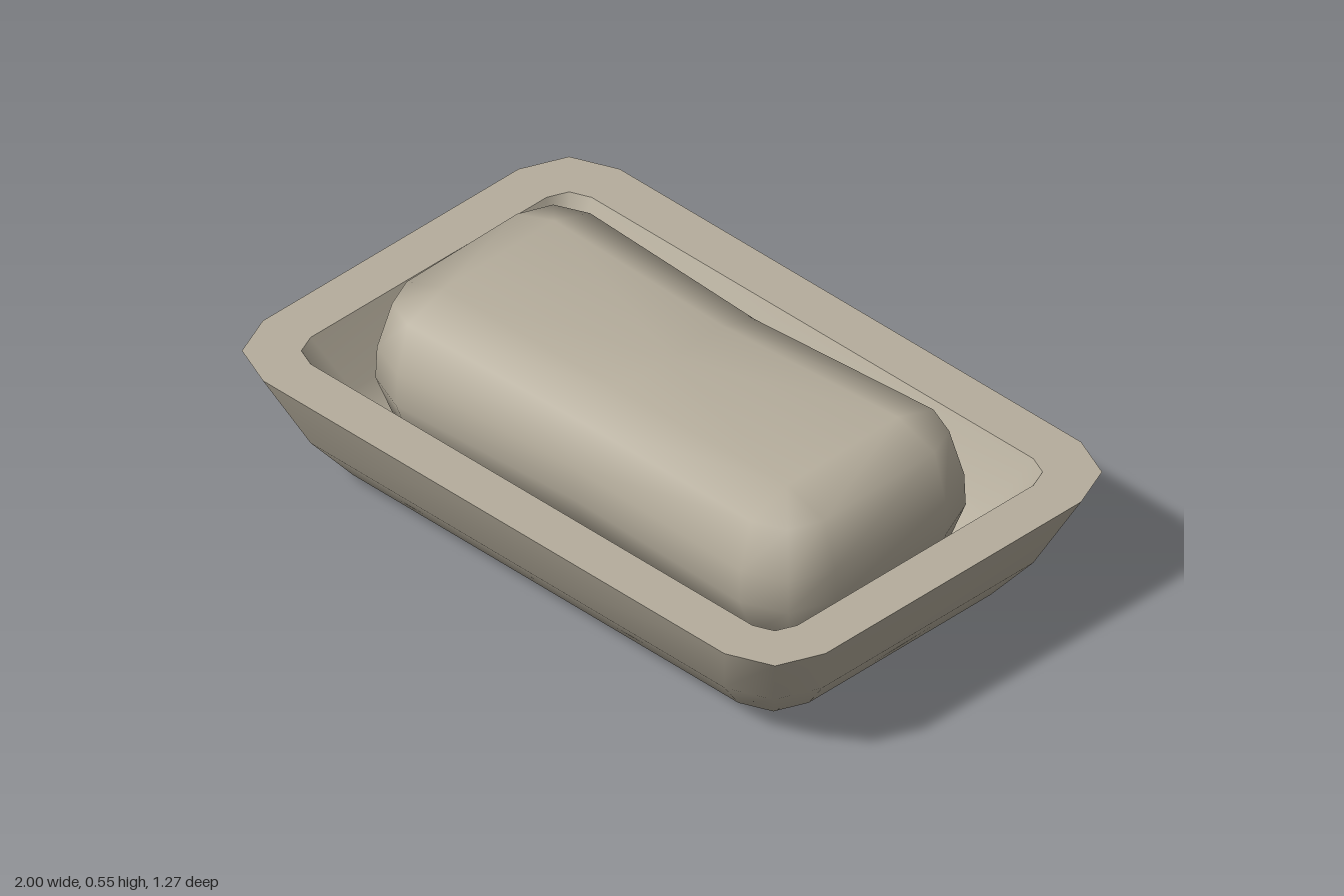
import * as THREE from 'three';
import { mergeVertices } from 'three/addons/utils/BufferGeometryUtils.js';

// Rounded rectangle ring: core half sizes cx, cz, widened by corner radius r
function ring([y, cx, cz, r]) {
  const points = [];
  const corners = [[1, 1], [-1, 1], [-1, -1], [1, -1]];
  corners.forEach(([sx, sz], q) => {
    for (let k = 0; k < 3; k++) {
      const a = (q + k / 2) * Math.PI / 2;
      points.push([sx * cx + r * Math.cos(a), y, sz * cz + r * Math.sin(a)]);
    }
    // extra point in the middle of the long sides
    if (q % 2 === 0) points.push([0, y, sz * (cz + r)]);
  });
  return points;
}

// Smooth skin over a list of rings, optionally bent by a rule
function loft(sections, bend = (p) => p) {
  const rings = sections.map(ring);
  const n = rings[0].length;
  const index = [];
  for (let i = 0; i < rings.length - 1; i++) {
    for (let j = 0; j < n; j++) {
      const a = i * n + j, b = i * n + (j + 1) % n;
      index.push(a, a + n, b, b, a + n, b + n);
    }
  }
  const geometry = new THREE.BufferGeometry();
  const positions = rings.flat().flatMap((p) => bend(p));
  geometry.setAttribute('position', new THREE.Float32BufferAttribute(positions, 3));
  geometry.setIndex(index);
  const merged = mergeVertices(geometry, 1e-4);
  merged.computeVertexNormals();
  return merged;
}

export function createModel() {
  const group = new THREE.Group();
  const clay = new THREE.MeshStandardMaterial({ color: 0xb5ad9c });
  clay.name = 'warm grey';

  const add = (name, geometry) => {
    const mesh = new THREE.Mesh(geometry, clay);
    mesh.name = name;
    group.add(mesh);
    return mesh;
  };

  const outerLip = [0.365, 0.82, 0.455, 0.18];
  const innerLip = [0.365, 0.785, 0.42, 0.08];

  // Flared outside of the dish, closed underneath
  add('dishOuter', loft([
    [0, 0, 0, 0],
    [0, 0.66, 0.295, 0],
    [0.045, 0.685, 0.325, 0.125],
    [0.17, 0.735, 0.375, 0.175],
    outerLip,
  ]));

  // Flat lip
  add('dishRim', loft([outerLip, innerLip]));

  // Hollow inside, down to the floor
  add('dishInner', loft([
    innerLip,
    [0.2, 0.71, 0.345, 0.08],
    [0.12, 0.67, 0.305, 0.06],
    [0.09, 0.6, 0.235, 0],
    [0.09, 0, 0, 0],
  ]));

  // Soap bar with a slight waist, lying a little askew
  const waist = ([x, y, z]) => {
    const t = Math.max(0, 1 - Math.abs(x) / 0.6);
    return [x, y - (y > 0.45 ? 0.015 * t : 0), z * (1 - 0.065 * t)];
  };
  const soap = add('soapBar', loft([
    [0.1, 0, 0, 0],
    [0.1, 0.6, 0.2, 0],
    [0.15, 0.6, 0.2, 0.125],
    [0.27, 0.6, 0.2, 0.172],
    [0.365, 0.6, 0.2, 0.168],
    [0.5, 0.6, 0.2, 0.13],
    [0.545, 0.6, 0.2, 0],
    [0.545, 0, 0, 0],
  ], waist));
  soap.rotation.y = 0.017;
  soap.position.x = -0.005;

  return group;
}
